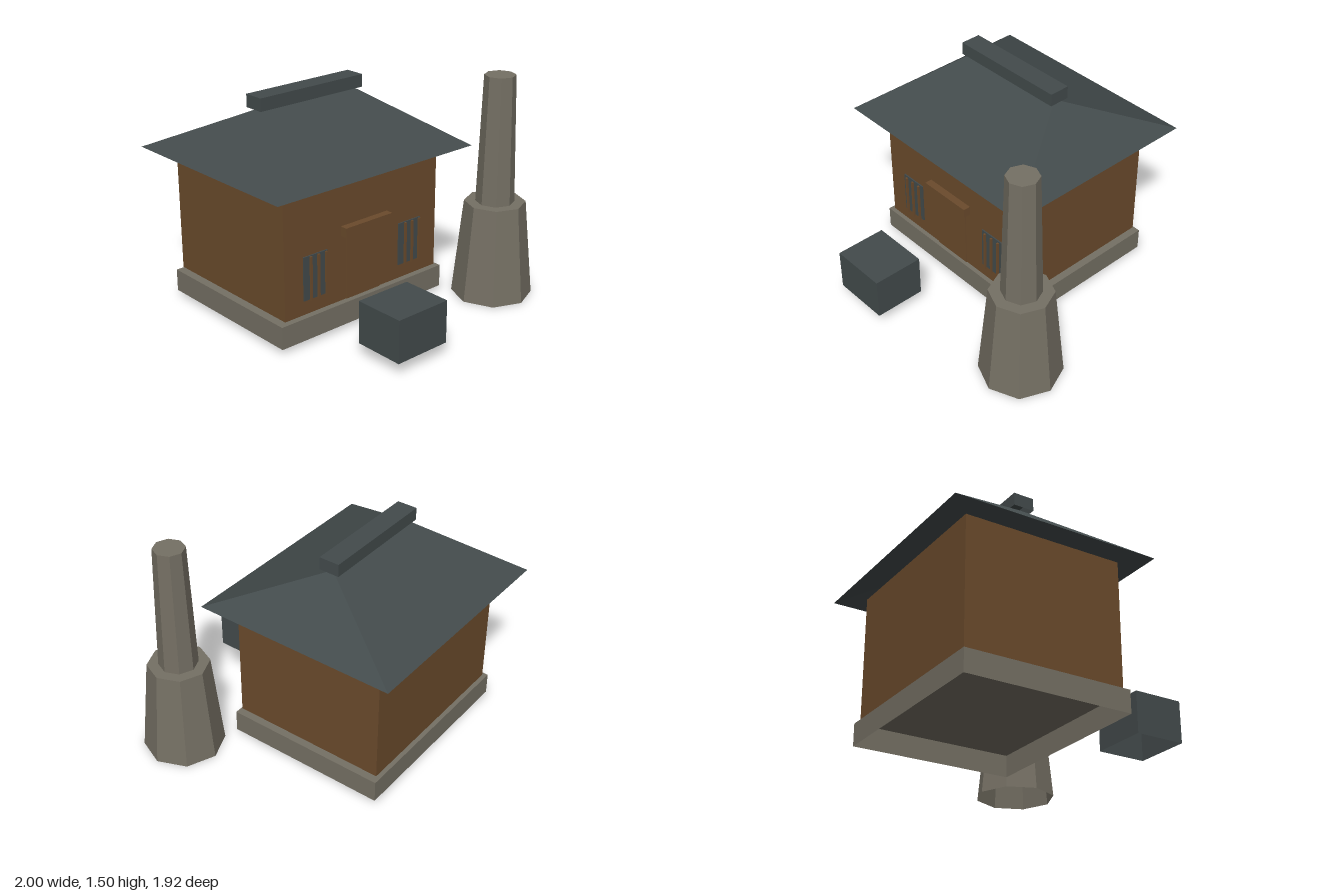
import * as THREE from 'three';

const mat = (name, color) => {
  const m = new THREE.MeshStandardMaterial({ color, side: THREE.DoubleSide, flatShading: true });
  m.name = name;
  return m;
};

export function createModel() {
  const model = new THREE.Group();
  model.name = 'forgeHouse';
  const wood = mat('brownWood', 0x6b4b2c);
  const slate = mat('darkSlate', 0x434b4c);
  const stone = mat('greyStone', 0x757064);

  const add = (name, geometry, material, parent = model) => {
    const mesh = new THREE.Mesh(geometry, material);
    mesh.name = name;
    parent.add(mesh);
    return mesh;
  };

  // Box from its limits on each axis, optionally without its underside
  const box = (name, material, [x0, x1], [y0, y1], [z0, z1], open = false, parent = model) => {
    const g = new THREE.BoxGeometry(x1 - x0, y1 - y0, z1 - z0);
    if (open) {
      const index = Array.from(g.index.array);
      index.splice(18, 6);
      g.setIndex(index);
      g.clearGroups();
    }
    g.translate((x0 + x1) / 2, (y0 + y1) / 2, (z0 + z1) / 2);
    return add(name, g, material, parent);
  };

  // House body on a hollow plinth
  box('plinth', stone, [-0.88, 0.47], [0.035, 0.185], [-0.82, 0.3], true);
  box('walls', wood, [-0.84, 0.43], [0.2, 1.04], [-0.798, 0.28], true);

  // Hipped roof: open shell with four slopes meeting at a ridge
  const a = [-1, 1.04, 0.44], b = [0.59, 1.04, 0.44], c = [0.59, 1.04, -0.96], d = [-1, 1.04, -0.96];
  const l = [-0.58, 1.37, -0.26], r = [0.17, 1.37, -0.26];
  const roof = new THREE.BufferGeometry();
  const corners = [a, b, r, a, r, l, b, c, r, c, d, l, c, l, r, d, a, l];
  roof.setAttribute('position', new THREE.Float32BufferAttribute(corners.flat(), 3));
  roof.computeVertexNormals();
  add('roof', roof, slate);
  box('ridgeCap', slate, [-0.62, 0.21], [1.37, 1.455], [-0.33, -0.19], true);

  // Door and its lintel
  box('door', wood, [-0.35, -0.07], [0.2, 0.65], [0.28, 0.286]);
  box('doorLintel', wood, [-0.4, -0.015], [0.645, 0.707], [0.29, 0.34]);

  // Two barred windows
  for (const [name, x] of [['rightWindow', -0.6], ['leftWindow', 0.19]]) {
    const win = new THREE.Group();
    win.name = name;
    model.add(win);
    box('pane', slate, [x - 0.095, x + 0.095], [0.295, 0.585], [0.28, 0.288], false, win);
    for (const dx of [-0.05, 0.01, 0.072]) {
      box('bar', wood, [x + dx - 0.007, x + dx + 0.007], [0.295, 0.585], [0.297, 0.31], false, win);
    }
  }

  // Eight-sided chimney: flared base, narrow stack, closed top
  const profile = [[0.268, 0], [0.202, 0.65], [0.128, 0.65], [0.102, 1.505], [0, 1.505]];
  const chimney = new THREE.LatheGeometry(profile.map(([x, y]) => new THREE.Vector2(x, y)), 8);
  add('chimney', chimney, stone).position.set(0.73, 0, 0.535);

  // Block standing in front of the house
  box('anvilBlock', slate, [-0.545, -0.15], [0.088, 0.37], [0.615, 0.96], true);

  return model;
}
